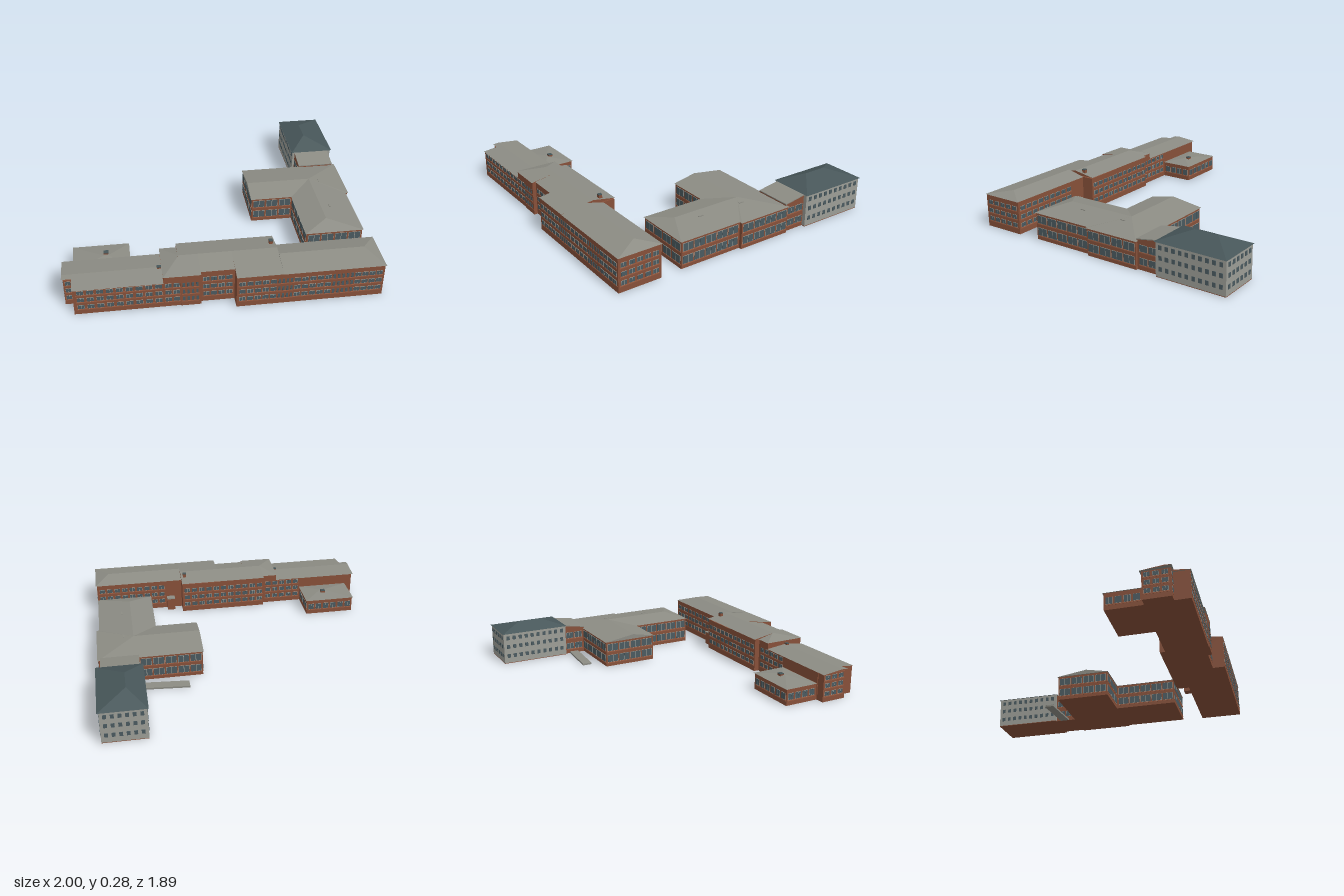
import * as THREE from 'three';
import { mergeGeometries } from 'three/addons/utils/BufferGeometryUtils.js';

const mat = (name, color) => {
  const m = new THREE.MeshStandardMaterial({ color });
  m.name = name;
  return m;
};

export function createModel() {
  const model = new THREE.Group();
  model.name = 'buildingComplex';
  const brick = mat('brick', 0x875039);
  const band = mat('brickBand', 0x9c5d42);
  const roofGrey = mat('roofGrey', 0x8c8c84);
  const slate = mat('slateRoof', 0x475659);
  const stone = mat('paleWall', 0x9c9d96);
  const glass = mat('glass', 0x4a5a60);
  const frame = mat('windowFrame', 0xa3a39a);

  const add = (name, geometry, material) => {
    const m = new THREE.Mesh(geometry, material);
    m.name = name;
    model.add(m);
  };
  const boxGeo = ([x0, x1, z0, z1], y0, y1) =>
    new THREE.BoxGeometry(x1 - x0, y1 - y0, z1 - z0).translate((x0 + x1) / 2, (y0 + y1) / 2, (z0 + z1) / 2);
  const block = (name, rect, y0, y1, material) => add(name, boxGeo(rect, y0, y1), material);

  // Pitched roof over a rectangle; a and b are the ridge ends [x, z].
  // yBack and yFront are the eave heights.
  function roof(name, [x0, x1, z0, z1], yBack, yFront, top, a, b, material, endMaterial = material) {
    const A = [x0, yBack, z0], B = [x1, yBack, z0], C = [x1, yFront, z1], D = [x0, yFront, z1];
    const P = [a[0], top, a[1]], Q = [b[0], top, b[1]];
    const alongX = a[1] === b[1];
    const quad = (p, q, r, s) => [p, q, r, p, r, s];
    const slopes = alongX ? [...quad(D, C, Q, P), ...quad(B, A, P, Q)] : [...quad(C, B, P, Q), ...quad(A, D, Q, P)];
    const ends = alongX ? [A, D, P, C, B, Q] : [B, A, P, D, C, Q];
    const g = new THREE.BufferGeometry();
    const all = [...slopes, ...ends, ...quad(A, B, C, D)];
    g.setAttribute('position', new THREE.Float32BufferAttribute(all.flat(), 3));
    g.computeVertexNormals();
    g.addGroup(0, 12, 0);
    g.addGroup(12, 6, 1);
    g.addGroup(18, 6, 0);
    add(name, g, [material, endMaterial]);
  }

  // Thin plate lying on a wall: along x for front/back, along z for the sides.
  const plate = (alongX, u, y, at, w, h, d) =>
    new THREE.BoxGeometry(alongX ? w : d, h, alongX ? d : w).translate(alongX ? u : at, y, alongX ? at : u);

  // Rows of framed windows between u0 and u1 on a wall plane.
  const frames = [], panes = [], bands = [];
  function windows(alongX, at, u0, u1, rows, n, w, h, split = 2, trim = true) {
    const step = (u1 - u0) / n;
    for (const y of rows) {
      for (let i = 0; i < n; i++) {
        const u = u0 + step * (i + 0.5);
        if (split > 1) frames.push(plate(alongX, u, y, at, w, h, 0.004));
        const pw = w / split;
        for (let k = 0; k < split; k++)
          panes.push(plate(alongX, u + (k - (split - 1) / 2) * pw, y, at, pw * 0.9, h - 0.003, 0.006));
      }
      if (trim) bands.push(plate(alongX, (u0 + u1) / 2, y - h / 2 - 0.005, at, u1 - u0, 0.006, 0.004));
    }
  }

  // Front row: west range
  block('westEndWalls', [-0.99, -0.93, 0.605, 0.78], 0, 0.186, brick);
  block('westWalls', [-0.935, -0.38, 0.6, 0.88], 0, 0.186, brick);
  roof('westEndRoof', [-1, -0.94, 0.595, 0.787], 0.188, 0.2, 0.204, [-1, 0.745], [-0.94, 0.745], roofGrey, brick);
  roof('westRoof', [-0.94, -0.39, 0.595, 0.887], 0.188, 0.187, 0.204, [-0.94, 0.745], [-0.39, 0.745], roofGrey, brick);

  // Front row: middle range, stepped along its front
  const ridgeZ = 0.717;
  block('middleHipWalls', [-0.388, -0.28, 0.6, 0.88], 0, 0.23, brick);
  roof('middleHipRoof', [-0.392, -0.28, 0.595, 0.887], 0.23, 0.23, 0.26, [-0.28, ridgeZ], [-0.28, ridgeZ], roofGrey);
  for (const [x0, x1, z1, eave] of [[-0.285, -0.16, 0.885, 0.23], [-0.16, 0.05, 0.86, 0.232], [0.05, 0.338, 0.94, 0.226]]) {
    block('middleWalls', [x0, x1, 0.565, z1], 0, eave, brick);
    roof('middleRoof', [x0, x1, 0.56, z1 + 0.003], 0.233, eave, 0.26, [x0, ridgeZ], [x1, ridgeZ], roofGrey, brick);
  }

  // Front row: east range
  block('eastWalls', [0.33, 0.97, 0.65, 0.94], 0, 0.224, brick);
  roof('eastRoof', [0.338, 0.978, 0.645, 0.944], 0.225, 0.225, 0.257, [0.338, 0.777], [0.88, 0.777], roofGrey);
  block('rearPorch', [0.395, 0.45, 0.605, 0.65], 0, 0.09, brick);
  block('rearPorchRoof', [0.393, 0.452, 0.603, 0.65], 0.09, 0.096, roofGrey);

  // Low rear annex
  block('annexWalls', [-0.93, -0.58, 0.365, 0.6], 0, 0.112, brick);
  roof('annexRoof', [-0.937, -0.573, 0.358, 0.598], 0.112, 0.112, 0.13, [-0.74, 0.49], [-0.71, 0.49], roofGrey);

  // Rear wings with large windows
  block('southWingWalls', [0.585, 0.96, -0.1, 0.5], 0, 0.182, brick);
  block('crossWingWalls', [0.3, 0.98, -0.315, 0.06], 0, 0.182, brick);
  roof('southWingRoof', [0.578, 0.967, -0.1, 0.507], 0.182, 0.182, 0.215, [0.74, -0.1], [0.74, 0.39], roofGrey);
  roof('crossWingRoof', [0.293, 0.987, -0.322, 0.067], 0.182, 0.182, 0.215, [0.293, -0.1], [0.74, -0.1], roofGrey);

  // Link with a roof rising toward the rear house
  const link = boxGeo([0.72, 0.965, -0.465, -0.31], 0, 0.19);
  const cover = boxGeo([0.718, 0.968, -0.465, -0.31], 0.19, 0.196);
  for (const g of [link, cover]) {
    const p = g.attributes.position;
    for (let i = 0; i < p.count; i++) if (p.getY(i) > 0.1 && p.getZ(i) < -0.4) p.setY(i, p.getY(i) + 0.025);
    g.computeVertexNormals();
  }
  add('linkWalls', link, brick);
  add('linkRoof', cover, roofGrey);

  // Rear house with slate hip roof
  block('rearHouseBase', [0.705, 0.99, -0.94, -0.465], 0, 0.004, brick);
  block('rearHouseWalls', [0.705, 0.99, -0.94, -0.465], 0.004, 0.222, stone);
  roof('rearHouseRoof', [0.698, 1, -0.947, -0.458], 0.222, 0.222, 0.275, [0.82, -0.78], [0.82, -0.62], slate);

  // Ground-level ramp beside the link
  const ramp = new THREE.Shape([[0.403, 0.455], [0.72, 0.43], [0.72, 0.365], [0.403, 0.39]].map(p => new THREE.Vector2(...p)));
  add('ramp', new THREE.ExtrudeGeometry(ramp, { depth: 0.012, bevelEnabled: false }).rotateX(-Math.PI / 2), roofGrey);

  // Chimneys and roof vents
  for (const [x, z, rx, rz, y0, y1] of [[0.31, 0.655, 0.012, 0.012, 0.2, 0.27], [-0.405, 0.75, 0.013, 0.01, 0.18, 0.21], [-0.725, 0.465, 0.016, 0.014, 0.1, 0.136]]) {
    block('chimney', [x - rx, x + rx, z - rz, z + rz], y0, y1, brick);
    block('chimneyCap', [x - rx, x + rx, z - rz, z + rz], y1, y1 + 0.005, slate);
  }
  for (const z of [-0.08, 0.24]) block('roofVent', [0.8, 0.808, z - 0.017, z + 0.017], 0.19, 0.21, roofGrey);

  // Windows of the front row
  const low = [0.055, 0.11, 0.163], high = [0.06, 0.117, 0.175];
  windows(true, 0.88, -0.92, -0.39, low, 9, 0.042, 0.03);
  windows(true, 0.78, -0.985, -0.94, low, 1, 0.034, 0.03);
  windows(true, 0.88, -0.385, -0.285, low, 2, 0.038, 0.03);
  windows(true, 0.885, -0.28, -0.17, low, 4, 0.016, 0.032, 1);
  windows(true, 0.86, -0.15, 0.04, high, 4, 0.038, 0.03);
  windows(true, 0.94, 0.06, 0.3, high, 5, 0.038, 0.03);
  windows(true, 0.94, 0.3, 0.4, high, 4, 0.015, 0.034, 1);
  windows(true, 0.94, 0.4, 0.64, high, 5, 0.038, 0.03);
  windows(true, 0.94, 0.64, 0.78, high, 5, 0.016, 0.034, 1);
  windows(true, 0.94, 0.78, 0.96, high, 4, 0.038, 0.03);
  windows(false, 0.97, 0.66, 0.93, high, 5, 0.038, 0.03);
  windows(false, -0.99, 0.61, 0.77, low, 3, 0.038, 0.03);
  windows(true, 0.65, 0.46, 0.96, high, 9, 0.04, 0.03);
  windows(true, 0.565, -0.28, 0.33, high, 11, 0.04, 0.03);
  windows(true, 0.6, -0.57, -0.3, low, 5, 0.038, 0.03);
  windows(true, 0.365, -0.925, -0.585, [0.06], 6, 0.042, 0.045);
  for (const x of [-0.93, -0.58]) windows(false, x, 0.37, 0.59, [0.06], 4, 0.042, 0.045);

  // Windows of the rear wings, link and rear house
  const tall = [0.057, 0.14];
  windows(false, 0.96, 0.07, 0.495, tall, 5, 0.076, 0.053);
  windows(false, 0.98, -0.31, 0.055, tall, 4, 0.082, 0.053);
  windows(false, 0.585, 0.07, 0.495, tall, 5, 0.076, 0.053);
  windows(false, 0.3, -0.31, 0.055, tall, 4, 0.082, 0.053);
  windows(true, 0.5, 0.59, 0.955, tall, 4, 0.08, 0.053);
  windows(true, 0.06, 0.305, 0.58, tall, 3, 0.08, 0.053);
  windows(true, -0.315, 0.305, 0.715, tall, 5, 0.073, 0.053);
  for (const x of [0.72, 0.965]) windows(false, x, -0.46, -0.325, tall, 2, 0.058, 0.045);
  const house = [0.056, 0.125, 0.19];
  for (const x of [0.705, 0.99]) windows(false, x, -0.93, -0.475, house, 10, 0.025, 0.031, 1, false);
  windows(true, -0.94, 0.715, 0.98, house, 6, 0.025, 0.031, 1, false);

  add('windowFrames', mergeGeometries(frames), frame);
  add('windowPanes', mergeGeometries(panes), glass);
  add('sillBands', mergeGeometries(bands), band);
  return model;
}
